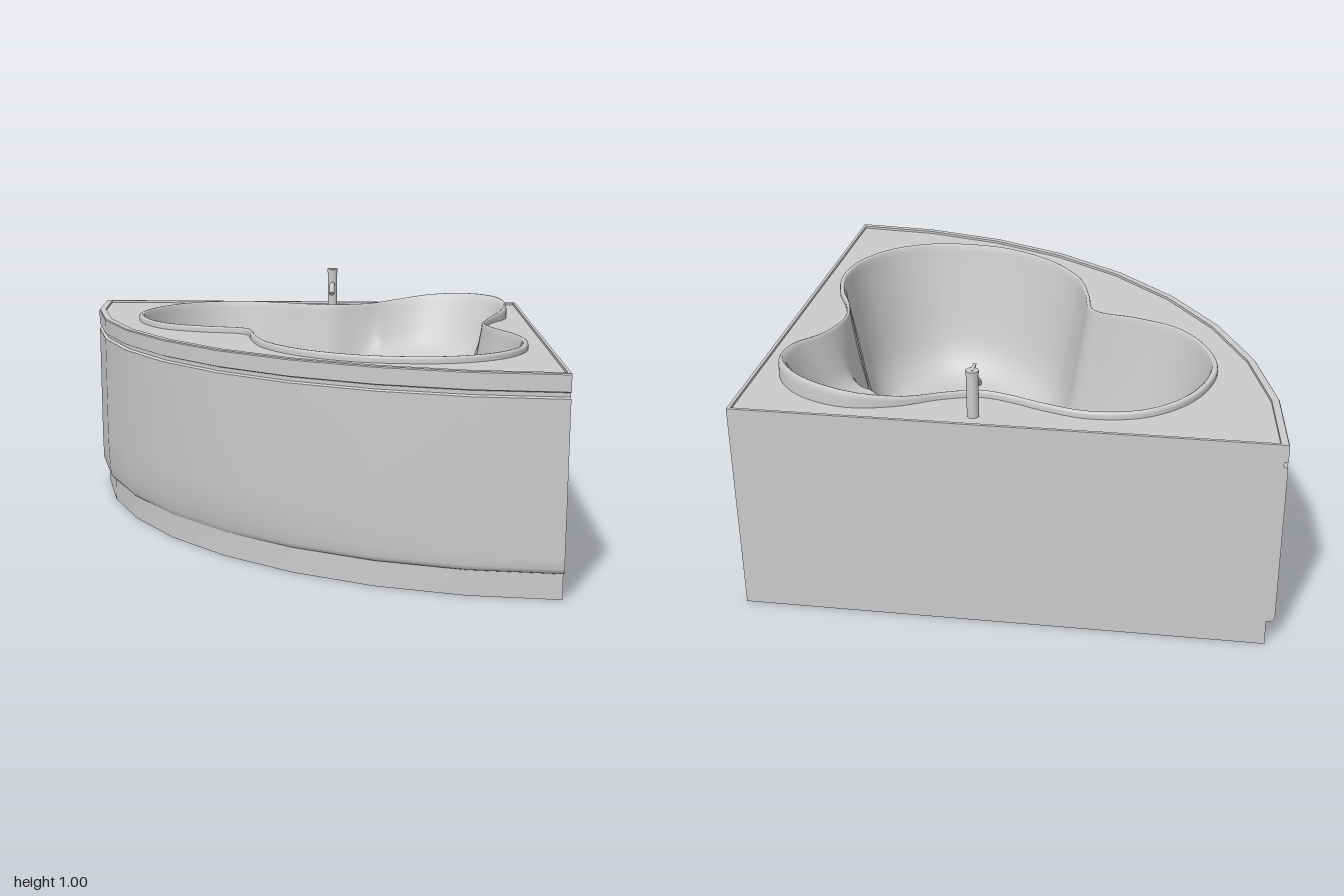
import * as THREE from 'three';
import { toCreasedNormals } from 'three/addons/utils/BufferGeometryUtils.js';

const grey = new THREE.MeshStandardMaterial({ color: 0xcccccc });
const DECK = 0.82, FLOOR = 0.21, SEAT = 0.6;

function part(group, name, geometry, x = 0, y = 0, z = 0) {
  const mesh = new THREE.Mesh(geometry, grey);
  mesh.name = name;
  mesh.position.set(x, y, z);
  group.add(mesh);
  return mesh;
}

// Skin a list of closed rings that all have the same number of points
function loft(rings) {
  const n = rings[0].length, index = [];
  for (let j = 0; j < rings.length - 1; j++) {
    for (let i = 0; i < n; i++) {
      const a = j * n + i, b = j * n + (i + 1) % n;
      index.push(a, a + n, b, a + n, b + n, b);
    }
  }
  const geo = new THREE.BufferGeometry().setFromPoints(rings.flat());
  geo.setIndex(index);
  return geo;
}

// Quarter-circle plan: a corner and a nine-sided arc of radius r, drawn in by tuck at its middle
function plan(y, r, inset = 0, tuck = 0) {
  const clamp = (x, z) => new THREE.Vector3(Math.min(x, 1 - inset), y, Math.max(z, -1 + inset));
  const points = [clamp(1, -1)];
  for (let i = 0; i <= 9; i++) {
    const a = i * Math.PI / 18, ra = r - tuck * Math.sin(2 * a) ** 2;
    points.push(clamp(1 - ra * Math.cos(a), -1 + ra * Math.sin(a)));
  }
  return points;
}

// Closed smooth curve through x, z pairs
function outline(pairs, count) {
  const points = [];
  for (let i = 0; i < pairs.length; i += 2) points.push(new THREE.Vector3(pairs[i], 0, pairs[i + 1]));
  const curve = new THREE.CatmullRomCurve3(points, true);
  return Array.from({ length: count }, (_, i) => curve.getPoint(i / count));
}

// Three-lobed rim and the matching foot of the basin wall
const RIM = [
  -0.74, -0.45, -0.66, -0.69, -0.50, -0.84, -0.30, -0.88, -0.13, -0.84, 0, -0.79, 0.11, -0.765, 0.25, -0.80,
  0.41, -0.88, 0.59, -0.91, 0.78, -0.84, 0.90, -0.69, 0.91, -0.50, 0.83, -0.32, 0.79, -0.155, 0.82, -0.02,
  0.89, 0.14, 0.92, 0.30, 0.89, 0.49, 0.78, 0.65, 0.62, 0.74, 0.45, 0.76, 0.25, 0.73, 0.03, 0.60,
  -0.12, 0.41, -0.18, 0.22, -0.21, 0.075, -0.25, 0.035, -0.40, 0, -0.58, -0.085, -0.70, -0.26];
const FOOT = [
  -0.47, -0.41, -0.43, -0.53, -0.35, -0.61, -0.23, -0.63, -0.11, -0.61, 0, -0.58, 0.12, -0.57, 0.24, -0.61,
  0.37, -0.65, 0.49, -0.66, 0.59, -0.62, 0.65, -0.55, 0.66, -0.45, 0.66, -0.33, 0.63, -0.19, 0.62, -0.06,
  0.64, 0.10, 0.66, 0.25, 0.63, 0.36, 0.57, 0.45, 0.50, 0.50, 0.41, 0.51, 0.28, 0.47, 0.16, 0.38,
  0.07, 0.26, 0.01, 0.12, -0.03, 0.02, -0.09, -0.04, -0.20, -0.10, -0.35, -0.18, -0.44, -0.28];

// Height of the basin floor: a shallow dish that steps up to the seat in the back corner
function floorY(p, dish) {
  const base = FLOOR + 0.035 * dish;
  return base + (SEAT - base) * THREE.MathUtils.smoothstep(p.x - p.z, 0.77, 0.98);
}
// Height of the lip, rising into a headrest behind the seat
const lipY = (p) => 0.845 + 0.062 * THREE.MathUtils.smoothstep(p.x - p.z, 1.08, 1.85);

function basinGeometry(rim, foot, drain) {
  const rings = [];
  const ring = (u, height) => rings.push(rim.map((p, i) => {
    const q = p.clone().lerp(foot[i], u);
    q.y = height(p, foot[i]);
    return q;
  }));
  // rounded lip
  for (const [u, v] of [[0, 0], [0, 0.6], [0.01, 0.88], [0.03, 1], [0.06, 1], [0.085, 0.8]]) {
    ring(u, (p) => DECK + (lipY(p) - DECK) * v);
  }
  // sloping wall with a soft foot
  const wall = new THREE.SplineCurve([[0.1, 0.05], [0.27, 0.4], [0.44, 0.71], [0.6, 0.87], [0.8, 0.965], [1, 1]]
    .map(([u, v]) => new THREE.Vector2(u, v)));
  for (const { x, y } of wall.getPoints(16)) {
    ring(x, (p, q) => THREE.MathUtils.lerp(lipY(p), floorY(q, 1), y));
  }
  // floor and seat
  for (let j = 1; j <= 60; j++) {
    rings.push(foot.map((f) => {
      const q = f.clone().lerp(drain, j / 60);
      q.y = floorY(q, (1 - j / 60) ** 2);
      return q;
    }));
  }
  const geo = loft(rings);
  geo.computeVertexNormals();
  return geo;
}

function deckGeometry(rim) {
  const flat = (p) => new THREE.Vector2(p.x, -p.z);
  const shape = new THREE.Shape(plan(0, 1.97, 0.012).map(flat));
  shape.holes.push(new THREE.Path(rim.map(flat)));
  return new THREE.ShapeGeometry(shape).rotateX(-Math.PI / 2);
}

function createTap() {
  const tap = new THREE.Group();
  tap.name = 'tap';
  part(tap, 'tapBody', new THREE.CylinderGeometry(0.022, 0.022, 0.16, 24), 0, 0.075, 0);
  part(tap, 'tapHead', new THREE.CylinderGeometry(0.024, 0.023, 0.022, 24), 0, 0.164, 0);
  part(tap, 'tapLever', new THREE.BoxGeometry(0.012, 0.005, 0.06), 0, 0.174, 0.025);
  const path = new THREE.CatmullRomCurve3([[0.1, 0.01], [0.103, 0.06], [0.097, 0.085], [0.067, 0.122]]
    .map(([y, z]) => new THREE.Vector3(0, y, z)));
  part(tap, 'tapSpout', new THREE.TubeGeometry(path, 20, 0.012, 12));
  // closed spout end
  const end = part(tap, 'spoutTip', new THREE.CircleGeometry(0.012, 12), 0, 0.067, 0.122);
  end.quaternion.setFromUnitVectors(new THREE.Vector3(0, 0, 1), path.getTangent(1));
  return tap;
}

export function createModel() {
  const model = new THREE.Group();
  model.name = 'cornerBathtub';
  const count = 310;
  const rim = outline(RIM, count), foot = outline(FOOT, count);
  const drain = new THREE.Vector3(0.13, FLOOR, -0.105);

  // Apron from the deck edge down: rim band, groove, front panel tucked in at its foot, plinth, underside
  const levels = [
    [DECK, 1.97, 0.012], [0.83, 1.97, 0.012], [0.83, 1.997], [0.826, 2], [0.765, 2], [0.76, 1.985],
    [0.745, 1.985], [0.74, 2], [0.3, 2], [0.22, 2, 0, 0.005], [0.16, 2, 0, 0.014], [0.122, 2, 0, 0.022],
    [0.112, 1.997, 0, 0.022], [0.104, 1.99, 0, 0.018], [0.1, 1.98, 0, 0.01], [0.1, 1.97], [0, 1.97], [0, 0]];
  part(model, 'apron', toCreasedNormals(loft(levels.map((l) => plan(...l))), 0.5));
  part(model, 'deck', deckGeometry(rim), 0, DECK, 0);
  part(model, 'basin', basinGeometry(rim, foot, drain));
  part(model, 'drain', new THREE.CylinderGeometry(0.03, 0.033, 0.012, 32), drain.x, FLOOR + 0.004, drain.z);

  const tap = createTap();
  tap.position.set(0.115, 0.825, -0.912);
  model.add(tap);
  return model;
}
